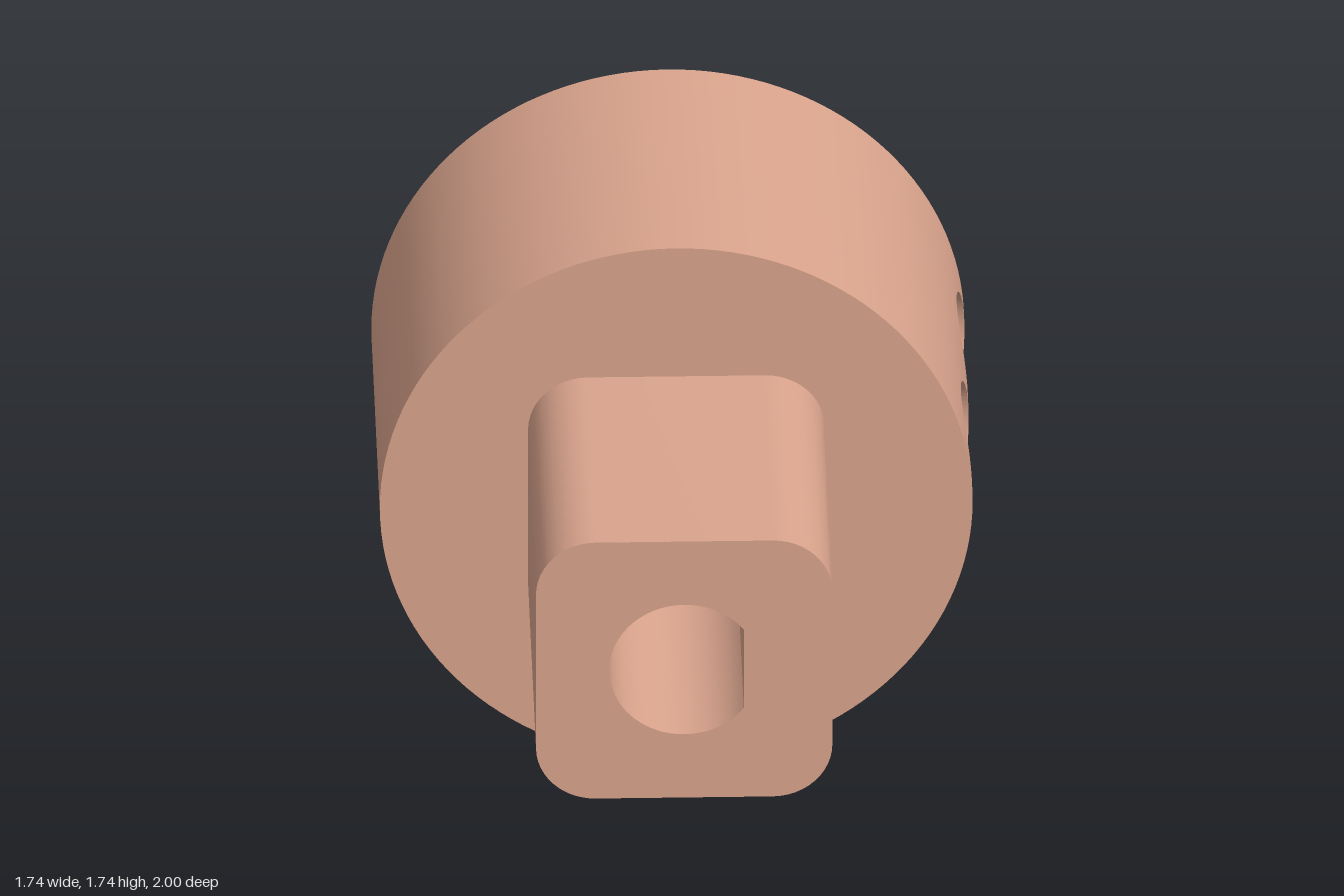
import * as THREE from 'three';
import { toCreasedNormals } from 'three/addons/utils/BufferGeometryUtils.js';

const R = 0.87;                                  // body radius
const BACK = -1, STEP = 0.04, TIP = 1;           // z of back face, shoulder, square end
const BORE = 0.22, FLAT = 0.175;                 // D-shaped bore
const SLOT_X = 0.35, SLOT_Y = 0.26;              // nut slot
const HOLES = [-0.74, -0.22], CELL = 0.26;       // screw holes and half size of their patches
const HEAD = 0.22, SCREW = 0.14, SEAT_X = 0.52;  // counterbore, screw hole, seat depth

const v2 = (x, y) => new THREE.Vector2(x, y);

function arc(cx, cy, r, a0, a1, n) {
  return Array.from({ length: n + 1 }, (_, i) => {
    const a = a0 + ((a1 - a0) * i) / n;
    return v2(cx + r * Math.cos(a), cy + r * Math.sin(a));
  });
}

// Skin through sections holding equal numbers of points
function loft(sections) {
  const n = sections[0].length, index = [];
  for (let i = 0; i < sections.length - 1; i++) {
    for (let j = 0; j < n - 1; j++) {
      const a = i * n + j, b = a + n;
      index.push(a, a + 1, b, a + 1, b + 1, b);
    }
  }
  const g = new THREE.BufferGeometry().setFromPoints(sections.flat());
  g.setIndex(index);
  return toCreasedNormals(g, 0.5);
}

// Straight wall along z following an outline
const wall = (pts, z0, z1) =>
  loft([z0, z1].map(z => pts.map(p => new THREE.Vector3(p.x, p.y, z))));

// Flat face with an optional hole, facing +z or -z
function face(outer, hole, z, back = false) {
  const flip = pts => pts.map(p => v2(back ? -p.x : p.x, p.y));
  const shape = new THREE.Shape(flip(outer));
  if (hole) shape.holes.push(new THREE.Path(flip(hole)));
  const g = new THREE.ShapeGeometry(shape);
  if (back) g.rotateY(Math.PI);
  return g.translate(0, 0, z);
}

// Patch of the round side around a screw hole, running into counterbore, seat and screw hole
function screwHole(zc) {
  const n = 64, steps = 8;
  const ring = (radius, depth) => Array.from({ length: n + 1 }, (_, j) => {
    const a = (j / n) * Math.PI * 2, c = Math.cos(a), s = Math.sin(a);
    const r = radius(c, s), y = r * c;
    return new THREE.Vector3(depth ?? Math.sqrt(R * R - y * y), y, zc + r * s);
  });
  const sections = [];
  for (let k = 0; k <= steps; k++) {
    sections.push(ring((c, s) =>
      THREE.MathUtils.lerp(CELL / Math.max(Math.abs(c), Math.abs(s)), HEAD, k / steps)));
  }
  sections.push(ring(() => HEAD, SEAT_X), ring(() => SCREW, SEAT_X), ring(() => SCREW, SLOT_X));
  return loft(sections);
}

export function createModel() {
  const group = new THREE.Group();
  const material = new THREE.MeshStandardMaterial({ color: 0xdaa48d, side: THREE.DoubleSide });
  const add = (name, geometry) => {
    const mesh = new THREE.Mesh(geometry, material);
    mesh.name = name;
    group.add(mesh);
  };

  // Outlines
  const disc = arc(0, 0, R, 0, Math.PI * 2, 128);
  const half = 0.435, corner = 0.175, q = Math.PI / 2;
  const square = [[1, 1], [-1, 1], [-1, -1], [1, -1]].flatMap(([sx, sy], i) =>
    arc(sx * (half - corner), sy * (half - corner), corner, i * q, (i + 1) * q, 12));
  square.push(square[0].clone());
  const open = Math.acos(FLAT / BORE);
  const boreArc = arc(0, 0, BORE, open, Math.PI * 2 - open, 64);
  const dBore = [...boreArc, boreArc[0].clone()];
  const slotBore = [v2(SLOT_X, SLOT_Y), v2(FLAT, SLOT_Y), ...boreArc,
    v2(FLAT, -SLOT_Y), v2(SLOT_X, -SLOT_Y)];

  // Round body
  const edge = Math.asin(CELL / R);
  add('bodySide', wall(arc(0, 0, R, edge, Math.PI * 2 - edge, 116), BACK, STEP));
  add('bodyBack', face(disc, slotBore, BACK, true));
  add('bodyShoulder', face(disc, square, STEP));
  HOLES.forEach((z, i) => add('screwHole' + (i + 1), screwHole(z)));

  // Bore and nut slot inside the body
  add('boreAndSlot', wall(slotBore, STEP, BACK));
  add('slotEnd', face([v2(FLAT, -SLOT_Y), v2(SLOT_X, -SLOT_Y), v2(SLOT_X, SLOT_Y),
    v2(FLAT, SLOT_Y)], null, STEP, true));
  const side = new THREE.Shape([v2(BACK, -SLOT_Y), v2(STEP, -SLOT_Y),
    v2(STEP, SLOT_Y), v2(BACK, SLOT_Y)]);
  HOLES.forEach(z => side.holes.push(new THREE.Path(arc(z, 0, SCREW, 0, Math.PI * 2, 64))));
  add('slotOuterWall', new THREE.ShapeGeometry(side).rotateY(-q).translate(SLOT_X, 0, 0));

  // Square drive end
  add('driveSide', wall(square, STEP, TIP));
  add('driveTip', face(square, dBore, TIP));
  add('driveBore', wall(dBore, TIP, STEP));

  group.children.forEach(m => { m.position.y = R; });
  return group;
}
